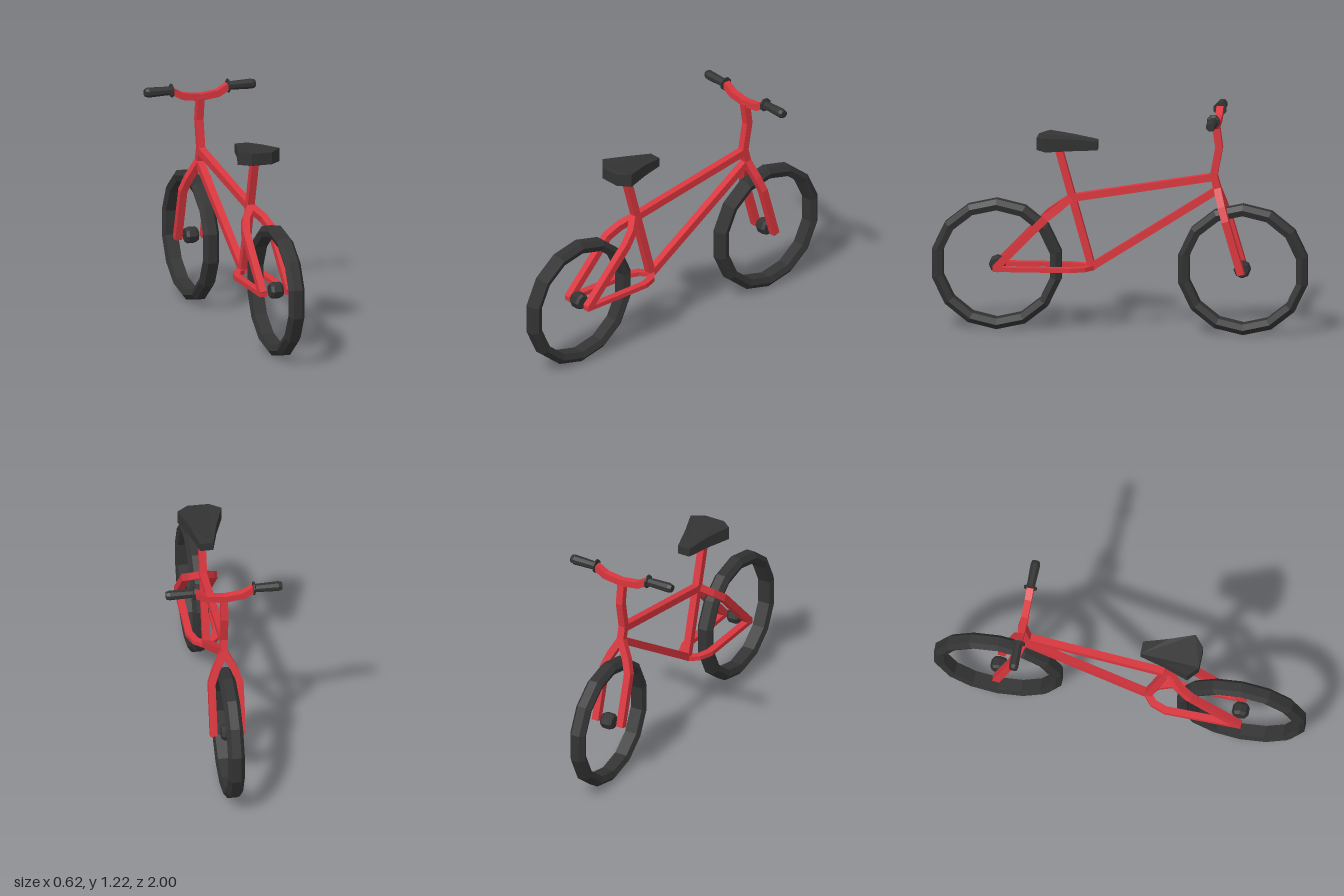
import * as THREE from 'three';

const red = new THREE.MeshStandardMaterial({ color: 0xd9363e, flatShading: true });
const black = new THREE.MeshStandardMaterial({ color: 0x333333, flatShading: true });
const X = new THREE.Vector3(1, 0, 0);
const Z = new THREE.Vector3(0, 0, 1);

// Square-section bar swept through a list of points; ref sets the side direction.
function bar(points, width = 0.039, height = width, ref = X) {
  const pts = points.map((p) => new THREE.Vector3(...p));
  const pos = [], idx = [];
  pts.forEach((p, i) => {
    const before = p.clone().sub(pts[Math.max(i - 1, 0)]).normalize();
    const after = pts[Math.min(i + 1, pts.length - 1)].clone().sub(p).normalize();
    const t = before.add(after).normalize();
    const up = t.clone().cross(ref).normalize();
    const side = up.clone().cross(t);
    for (const [a, b] of [[-1, -1], [1, -1], [1, 1], [-1, 1]]) {
      const v = p.clone().addScaledVector(side, a * width / 2).addScaledVector(up, b * height / 2);
      pos.push(v.x, v.y, v.z);
    }
    if (i === 0) return;
    const s = (i - 1) * 4;
    for (let k = 0; k < 4; k++) {
      const n = (k + 1) % 4;
      idx.push(s + k, s + n, s + 4 + n, s + k, s + 4 + n, s + 4 + k);
    }
  });
  const e = (pts.length - 1) * 4;
  idx.push(0, 2, 1, 0, 3, 2, e, e + 1, e + 2, e, e + 2, e + 3);
  const geo = new THREE.BufferGeometry();
  geo.setAttribute('position', new THREE.Float32BufferAttribute(pos, 3));
  geo.setIndex(idx);
  geo.computeVertexNormals();
  return geo;
}

// Lathe whose axis runs along x; profile is [radius, x].
function latheX(profile, sides, start = Math.PI / 2) {
  const pts = profile.map(([r, x]) => new THREE.Vector2(r, x));
  return new THREE.LatheGeometry(pts, sides, start).rotateZ(Math.PI / 2);
}

// Saddle: extruded outline with its top sloped from a ridge near the back.
function saddleGeometry() {
  const half = [[0.035, 0.117], [0.07, 0.25], [0.118, 0.385], [0.058, 0.437]];
  const outline = [...half, ...half.map(([x, z]) => [-x, z]).reverse()];
  const shape = new THREE.Shape(outline.map(([x, z]) => new THREE.Vector2(x, -z)));
  const geo = new THREE.ExtrudeGeometry(shape, { depth: 1, bevelEnabled: false }).rotateX(-Math.PI / 2);
  const p = geo.attributes.position;
  for (let i = 0; i < p.count; i++) {
    const top = 1.06 - 0.13 * Math.abs(p.getZ(i) - 0.35);
    p.setY(i, p.getY(i) > 0.5 ? top : 0.983);
  }
  geo.computeVertexNormals();
  return geo;
}

export function createModel() {
  const model = new THREE.Group();
  const add = (name, geo, mat, x = 0, y = 0, z = 0) => {
    const mesh = new THREE.Mesh(geo, mat);
    mesh.name = name;
    mesh.position.set(x, y, z);
    model.add(mesh);
  };

  // Wheels and hubs
  const tyre = latheX([
    [0.293, -0.034], [0.325, -0.045], [0.352, -0.024], [0.352, 0.024],
    [0.325, 0.045], [0.293, 0.034], [0.293, -0.034],
  ], 14);
  const hub = latheX([[0, -0.035], [0.035, -0.035], [0.045, -0.02], [0.045, 0.02], [0.035, 0.035], [0, 0.035]], 8);
  for (const [name, z] of [['rear', 0.655], ['front', -0.655]]) {
    add(name + 'Tyre', tyre, black, 0, 0.352, z);
    add(name + 'Hub', hub, black, 0, 0.352, z * 0.994);
  }

  // Main frame
  add('topTube', bar([[0, 0.715, 0.265], [0, 0.85, -0.51]]), red);
  add('downTube', bar([[0, 0.35, 0.145], [0, 0.78, -0.52]]), red);
  add('seatTube', bar([[0, 0.34, 0.148], [0, 0.99, 0.328]]), red);
  add('steeringColumn', bar([
    [0, 0.76, -0.525], [0, 0.86, -0.5], [0, 1.01, -0.528], [0, 1.135, -0.51],
  ]), red);

  // Paired stays, fork legs and grips
  for (const [side, s] of [['left', 1], ['right', -1]]) {
    add(side + 'SeatStay', bar([
      [0, 0.715, 0.265], [s * 0.05, 0.665, 0.325], [s * 0.075, 0.615, 0.39], [s * 0.075, 0.34, 0.655],
    ]), red);
    add(side + 'Chainstay', bar([
      [0, 0.342, 0.148], [s * 0.05, 0.341, 0.19], [s * 0.075, 0.34, 0.26], [s * 0.075, 0.337, 0.668],
    ], 0.039, 0.024), red);
    add(side + 'ForkLeg', bar([
      [0, 0.785, -0.52], [s * 0.05, 0.69, -0.548], [s * 0.075, 0.62, -0.57], [s * 0.075, 0.338, -0.652],
    ]), red);
    const grip = latheX([
      [0, -0.155], [0.037, -0.155], [0.037, -0.163], [0.023, -0.168],
      [0.027, -0.29], [0.021, -0.31], [0, -0.31],
    ].map(([r, x]) => [r, x * s]), 8, Math.PI / 8);
    if (s > 0) {
      // profile running the other way needs its faces turned outward
      const a = grip.index.array;
      for (let i = 0; i < a.length; i += 3) [a[i], a[i + 1]] = [a[i + 1], a[i]];
    }
    add(side + 'Grip', grip, black, 0, 1.182, -0.515);
  }

  // Handlebar and saddle
  add('handlebar', bar([
    [-0.16, 1.182, -0.515], [-0.1, 1.147, -0.515], [0, 1.134, -0.515],
    [0.1, 1.147, -0.515], [0.16, 1.182, -0.515],
  ], 0.037, 0.037, Z), red);
  add('saddle', saddleGeometry(), black);
  return model;
}
